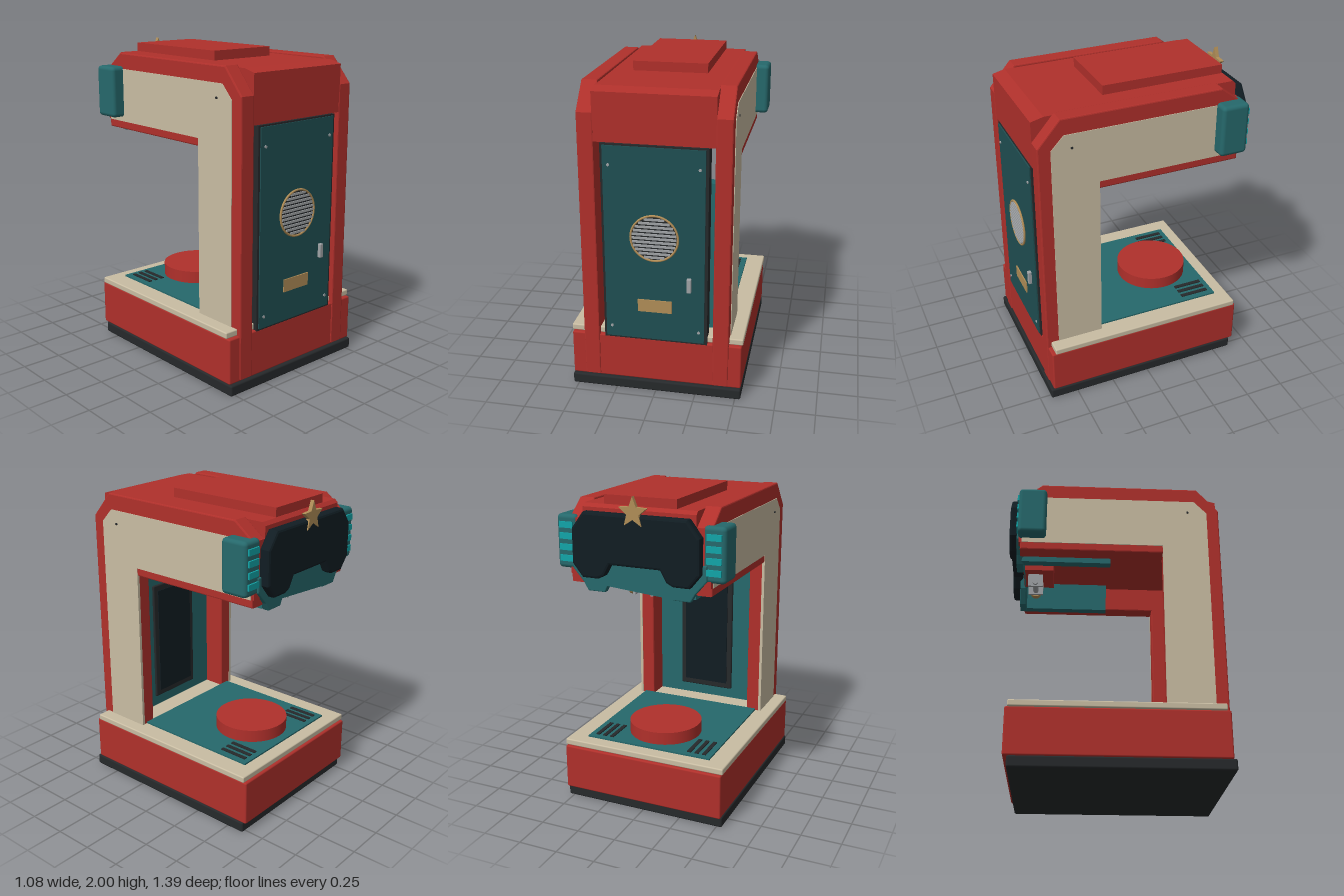
import * as THREE from 'three';
import { RoundedBoxGeometry } from 'three/addons/geometries/RoundedBoxGeometry.js';

const paint = (color) => new THREE.MeshStandardMaterial({ color });

export function createModel() {
  const model = new THREE.Group();
  const red = paint(0xb0302b), teal = paint(0x26696c), darkTeal = paint(0x1f4f52);
  const cream = paint(0xc9bda3), black = paint(0x26292b), glass = paint(0x111d23);
  const gold = paint(0xb08d57), cyan = paint(0x12a5a8), grey = paint(0xa0a3a6);

  const add = (name, geometry, material) => {
    const mesh = new THREE.Mesh(geometry, material);
    mesh.name = name;
    model.add(mesh);
    return mesh;
  };
  // box given by its limits on each axis; r rounds the edges
  const box = (name, material, [x0, x1], [y0, y1], [z0, z1], r = 0) => {
    const size = [x1 - x0, y1 - y0, z1 - z0];
    const geo = r ? new RoundedBoxGeometry(...size, 2, r) : new THREE.BoxGeometry(...size);
    geo.translate((x0 + x1) / 2, (y0 + y1) / 2, (z0 + z1) / 2);
    return add(name, geo, material);
  };
  const outline = (points) => new THREE.Shape(points.map(([a, b]) => new THREE.Vector2(a, b)));
  const extrude = (points, depth, bevel = 0) => new THREE.ExtrudeGeometry(outline(points), {
    depth: depth - 2 * bevel, bevelEnabled: bevel > 0, bevelSize: bevel, bevelThickness: bevel,
    bevelOffset: -bevel, bevelSegments: 2,
  }).translate(0, 0, bevel);
  // side profile in (z, y), swept across x from x0 to x1
  const sideProfile = (name, material, points, [x0, x1], bevel) =>
    add(name, extrude(points, x1 - x0, bevel).rotateY(-Math.PI / 2).translate(x1, 0, 0), material);
  // back outline in (x, y), swept from z0 to z1
  const backProfile = (name, material, points, [z0, z1], bevel) =>
    add(name, extrude(points, z1 - z0, bevel).translate(0, 0, z0), material);
  const span = (s, a, b) => (s > 0 ? [a, b] : [-b, -a]);
  const mirrored = (half) => [...half, ...half.map(([x, y]) => [-x, y]).reverse()];

  // base
  box('foot', black, [-0.535, 0.535], [0, 0.07], [-0.62, 0.68], 0.012);
  box('base', red, [-0.533, 0.533], [0.07, 0.36], [-0.645, 0.662], 0.01);
  box('baseTop', cream, [-0.54, 0.54], [0.36, 0.4], [-0.63, 0.64], 0.008);
  box('deck', teal, [-0.42, 0.42], [0.395, 0.41], [-0.545, 0.3]);
  add('turntable', new THREE.CylinderGeometry(0.232, 0.232, 0.085, 48).translate(0, 0.4475, -0.262), red);

  for (const s of [1, -1]) {
    for (const x of [0.27, 0.32, 0.37])
      box('deckSlot', black, span(s, x - 0.012, x + 0.012), [0.405, 0.416], [-0.51, -0.32]);

    // side frame with column and arm
    sideProfile('sideFrame', red, [
      [0.3, 0.08], [0.668, 0.08], [0.668, 1.78], [0.53, 1.94], [-0.48, 1.94],
      [-0.61, 1.84], [-0.61, 1.45], [0.3, 1.45],
    ], span(s, 0.355, 0.454), 0.008);
    sideProfile('sidePanel', cream, [
      [0.3, 0.4], [0.59, 0.4], [0.59, 1.755], [0.51, 1.84],
      [-0.6, 1.84], [-0.6, 1.5], [0.298, 1.5], [0.298, 0.4],
    ], span(s, 0.44, 0.458));
    const screw = add('panelScrew', new THREE.CylinderGeometry(0.007, 0.007, 0.01, 10), black);
    screw.rotation.z = Math.PI / 2;
    screw.position.set(s * 0.459, 1.755, 0.465);

    // head pods with light slits
    box('headPod', teal, span(s, 0.4, 0.538), [1.53, 1.855], [-0.625, -0.447], 0.025);
    for (let i = 0; i < 4; i++)
      box('podLight', cyan, span(s, 0.425, 0.515), [1.575 + i * 0.067, 1.612 + i * 0.067], [-0.635, -0.6]);
    box('headGuide', teal, span(s, 0.3, 0.352), [1.42, 1.62], [-0.6, -0.03]);
    box('clampPlate', grey, span(s, 0.05, 0.065), [1.4, 1.5], [-0.57, -0.47]);
  }

  // centre cover joining the two frames, and the lid
  sideProfile('topCover', red, [
    [0.664, 1.61], [0.668, 1.905], [0.59, 1.925], [-0.6, 1.93], [-0.62, 1.91], [-0.62, 1.62], [0.5, 1.62], [0.5, 1.61],
  ], [-0.36, 0.36]);
  for (const s of [1, -1])
    box('coverShoulder', red, span(s, 0.35, 0.45), [1.5, 1.84], [-0.62, -0.5]);
  box('lid', red, [-0.23, 0.23], [1.92, 1.985], [-0.595, 0.185]);

  // inner screen panel
  box('innerPanel', teal, [-0.356, 0.356], [0.39, 1.35], [0.44, 0.52]);
  box('screenFrame', black, [-0.19, 0.19], [0.47, 1.28], [0.425, 0.45], 0.008);
  box('screen', glass, [-0.155, 0.155], [0.51, 1.24], [0.42, 0.44]);

  // front door
  box('doorFrame', black, [-0.32, 0.32], [0.355, 1.605], [0.58, 0.665]);
  box('door', darkTeal, [-0.305, 0.302], [0.368, 1.595], [0.62, 0.673]);
  for (const x of [-0.27, 0.27])
    for (const y of [0.44, 1.48])
      add('doorBolt', new THREE.CylinderGeometry(0.009, 0.009, 0.01, 12).rotateX(Math.PI / 2).translate(x, y, 0.674), grey);
  add('grilleBack', new THREE.CylinderGeometry(0.142, 0.142, 0.008, 40).rotateX(Math.PI / 2).translate(0, 1.04, 0.674), black);
  add('grilleRing', new THREE.TorusGeometry(0.143, 0.007, 8, 48).translate(0, 1.04, 0.678), gold);
  for (let i = -5; i <= 5; i++) {
    const y = i * 0.024, half = Math.sqrt(0.135 ** 2 - y * y);
    box('grilleSlat', grey, [-half, half], [1.033 + y, 1.047 + y], [0.674, 0.684]);
  }
  box('doorHandle', grey, [0.197, 0.224], [0.71, 0.8], [0.67, 0.695], 0.004);
  box('namePlate', gold, [-0.105, 0.105], [0.555, 0.635], [0.67, 0.68]);

  // head: chin frame, visor and star
  backProfile('chinFrame', teal, mirrored([
    [0.17, 1.63], [0.17, 1.51], [0.22, 1.41], [0.33, 1.41], [0.36, 1.46], [0.43, 1.54], [0.43, 1.63],
  ]), [-0.635, -0.59], 0.006);
  backProfile('visor', glass, mirrored([
    [0.16, 1.59], [0.2, 1.52], [0.24, 1.5], [0.34, 1.5], [0.405, 1.58], [0.405, 1.79], [0.33, 1.89],
  ]), [-0.685, -0.615], 0.015);
  const star = [];
  for (let i = 0; i < 10; i++) {
    const a = Math.PI / 2 + (i * Math.PI) / 5, r = i % 2 ? 0.04 : 0.092;
    star.push([r * Math.cos(a), 1.908 + r * Math.sin(a)]);
  }
  backProfile('star', gold, star, [-0.692, -0.668]);

  // clamp under the head
  box('clampMount', red, [-0.12, 0.12], [1.49, 1.63], [-0.6, -0.4]);
  const bar = (name, r, x0, x1, mat) => add(name,
    new THREE.CylinderGeometry(r, r, x1 - x0, 20).rotateZ(Math.PI / 2).translate((x0 + x1) / 2, 1.425, -0.52), mat);
  bar('clampRod', 0.018, -0.08, 0.08, grey);
  bar('clampKnob', 0.034, 0.065, 0.1, gold);

  return model;
}
